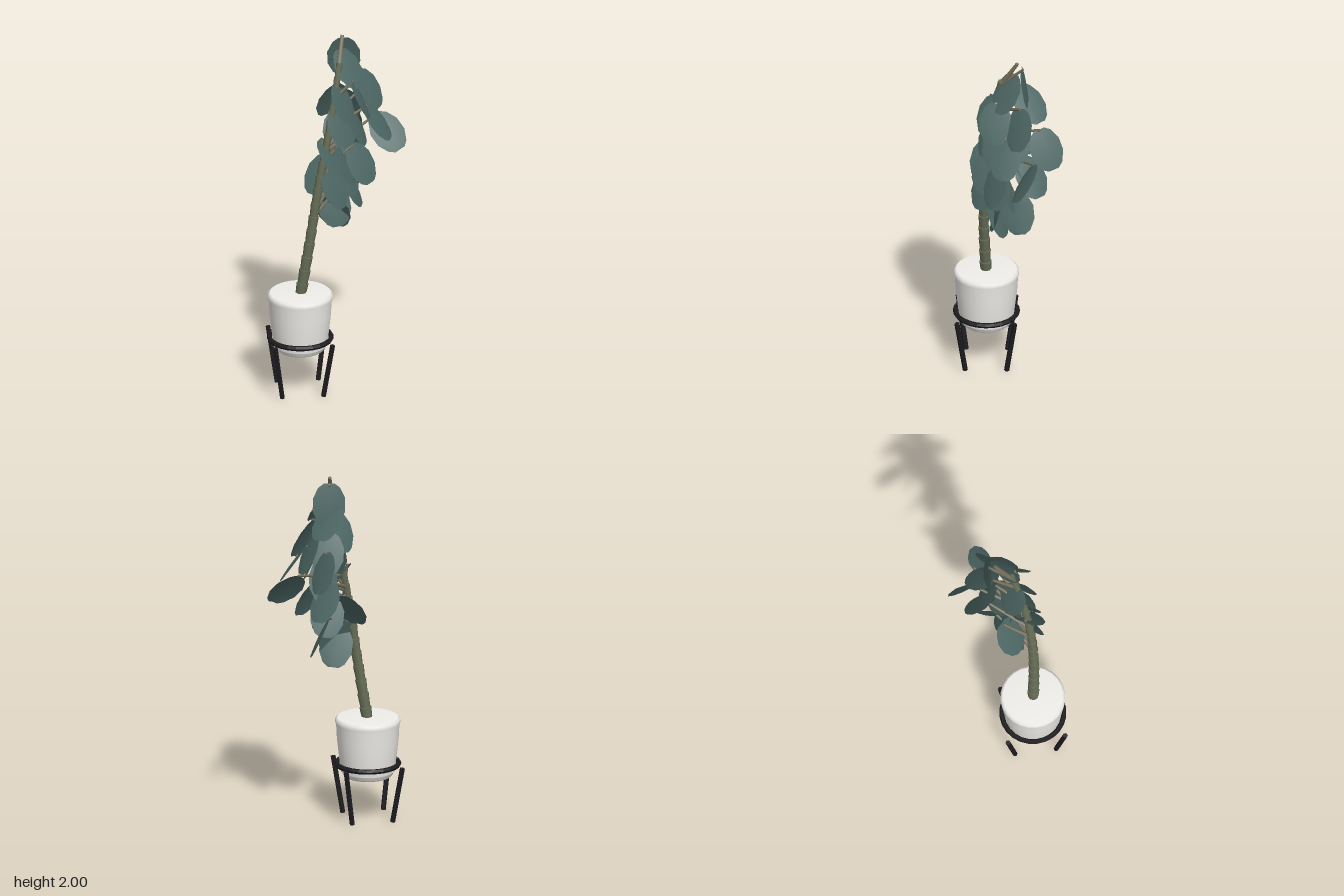
import * as THREE from 'three';

const V = (x, y, z) => new THREE.Vector3(x, y, z);
const UP = V(0, 1, 0);
const mat = (color, extra = {}) => new THREE.MeshStandardMaterial({ color, ...extra });

// Tapered rod between two points
function rod(name, a, b, r0, r1, sides, material) {
  const d = b.clone().sub(a);
  const m = new THREE.Mesh(new THREE.CylinderGeometry(r1, r0, d.length(), sides), material);
  m.position.copy(a).add(b).multiplyScalar(0.5);
  m.quaternion.setFromUnitVectors(UP, d.normalize());
  m.name = name;
  return m;
}

// Broad leaf along y, facing +z, one unit long and wide, creased along the midrib
function leafGeometry() {
  const g = new THREE.PlaneGeometry(1, 1, 2, 5);
  const p = g.attributes.position;
  for (let i = 0; i < p.count; i++) {
    const y = 0.5 * Math.sin(p.getY(i) * Math.PI);
    const w = Math.sqrt(0.28 - y * y);
    const x = Math.sign(p.getX(i)) * w * 0.95;
    p.setXYZ(i, x, y, -0.12 * y * y - 0.12 * Math.abs(x));
  }
  g.computeVertexNormals();
  return g;
}

// Leaf centres with the compass angle each faces, and an upward tilt where unusual
const LEAVES = [
  [0.06, 1.855, -0.11, 177, 10], [0.08, 1.77, -0.13, 125, 46], [0.08, 1.83, 0.01, 40, 35],
  [0.14, 1.67, 0.06, 80], [0.2, 1.67, -0.06, 45], [-0.03, 1.66, 0.02, 205],
  [0.04, 1.66, 0.09, 55], [0.24, 1.51, 0.01, 65, 35], [0.3, 1.4, -0.095, 6, 36],
  [0.13, 1.51, -0.22, 110], [0.1, 1.32, -0.14, 125, 35], [0.03, 1.53, 0.1, 35],
  [0.12, 1.51, 0.05, 70], [0.07, 1.58, -0.1, 165], [-0.03, 1.36, 0.12, 62, 35],
  [0.07, 1.4, -0.04, 200], [0.14, 1.29, 0.07, 35], [0.05, 1.31, 0.11, 65],
  [-0.09, 1.22, 0.02, -40, 35], [-0.01, 1.18, 0.13, 45], [0.05, 1.2, -0.02, 170],
  [0.11, 1.1, -0.06, 72], [-0.01, 1.05, 0.07, 6, 15], [-0.01, 1.01, 0.04, 160],
  [0.17, 1.57, -0.04, 95], [0.06, 1.22, 0.06, 50], [0.02, 1.46, 0.04, 20],
];

export function createModel() {
  const model = new THREE.Group();
  const white = mat(0xf0eeea), black = mat(0x1d1d20, { flatShading: true });
  const bark = mat(0x687058), stalk = mat(0x77715c);
  const green = mat(0x4c6663, { side: THREE.DoubleSide });
  const px = -0.205, pz = 0.115;

  // Filled pot with a slightly raised rim band and a narrow foot
  const profile = [[0, 0.24], [0.125, 0.24], [0.136, 0.25], [0.138, 0.264], [0.147, 0.27],
    [0.167, 0.45], [0.171, 0.525], [0.176, 0.54], [0.176, 0.562], [0.162, 0.573], [0, 0.573]];
  const pot = new THREE.Mesh(
    new THREE.LatheGeometry(profile.map(([r, y]) => new THREE.Vector2(r, y)), 24), white);
  pot.position.set(px, 0, pz);
  pot.name = 'pot';
  model.add(pot);

  // Stand: a hoop and four splayed legs
  const stand = new THREE.Group();
  stand.name = 'stand';
  const ring = new THREE.Mesh(new THREE.TorusGeometry(0.168, 0.014, 6, 24), black);
  ring.rotation.x = Math.PI / 2;
  ring.position.set(px, 0.31, pz);
  ring.name = 'standRing';
  stand.add(ring);
  for (const sx of [-1, 1]) {
    for (const sz of [-1, 1]) {
      stand.add(rod('standLeg', V(px + sx * 0.112, 0.003, pz + sz * 0.112),
        V(px + sx * 0.156, 0.315, pz + sz * 0.156), 0.014, 0.014, 6, black));
    }
  }
  model.add(stand);

  // Leaning trunk of short joints, each flaring upward
  const path = new THREE.CatmullRomCurve3([V(-0.205, 0.55, 0.117), V(-0.15, 0.9, 0.128),
    V(-0.105, 1.2, 0.122), V(-0.055, 1.45, 0.1), V(-0.015, 1.67, 0.07), V(0.02, 1.87, 0.03)]);
  const trunk = new THREE.Group();
  trunk.name = 'trunk';
  const joints = 17;
  for (let i = 0; i < joints; i++) {
    const r = 0.033 - 0.016 * i / joints;
    trunk.add(rod('trunkJoint', path.getPointAt(i / joints), path.getPointAt((i + 1) / joints),
      r * 0.85, r, 8, bark));
  }
  trunk.add(rod('growingTip', V(0.015, 1.84, 0.035), V(0.046, 1.995, -0.058), 0.015, 0.01, 6, stalk));
  model.add(trunk);

  // Hanging leaves, tips leaning away from the trunk, each on a rising stalk
  const foliage = new THREE.Group();
  foliage.name = 'foliage';
  const shape = leafGeometry();
  const length = 0.235, width = 0.185;
  const trunkAt = (y) => path.getPointAt(THREE.MathUtils.clamp((y - 0.55) / 1.32, 0, 0.98));
  for (const [x, y, z, facing, tilt = 25] of LEAVES) {
    const centre = V(x, y, z);
    const n = V(0, 0, 1).applyEuler(new THREE.Euler(
      -THREE.MathUtils.degToRad(tilt), THREE.MathUtils.degToRad(facing), 0, 'YXZ'));
    const t = centre.clone().sub(trunkAt(y)).setY(-1).projectOnPlane(n).normalize();
    const leaf = new THREE.Mesh(shape, green);
    leaf.quaternion.setFromRotationMatrix(new THREE.Matrix4().makeBasis(t.clone().cross(n), t, n));
    leaf.position.copy(centre);
    leaf.scale.set(width, length, length);
    leaf.name = 'leaf';
    const base = centre.clone().addScaledVector(t, -length * 0.48);
    foliage.add(leaf, rod('leafStalk', trunkAt(base.y - 0.1), base, 0.012, 0.007, 6, stalk));
  }
  model.add(foliage);
  return model;
}
